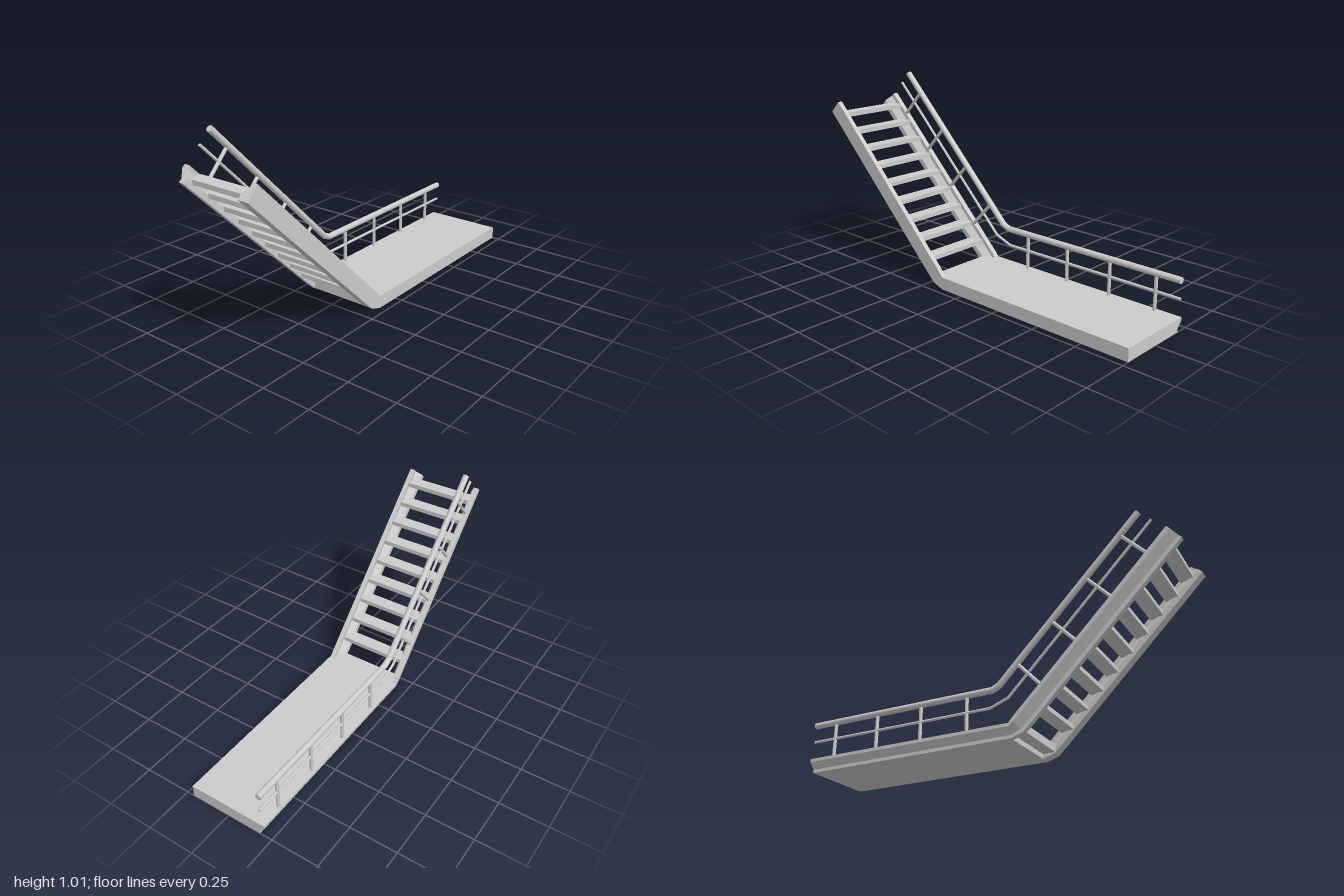
import * as THREE from 'three';

const material = new THREE.MeshStandardMaterial({ color: 0xcccccc, side: THREE.DoubleSide });
const RAIL_Z = -0.191;

// Sweep a section of [z, v] points along stations [bottomX, bottomY, topX, topY];
// v runs from 0 at the bottom line to 1 at the top line.
function sweep(name, section, stations) {
  const at = (i, s) => {
    const [z, v] = section[i % section.length];
    const [bx, by, tx, ty] = stations[s];
    return [bx + (tx - bx) * v, by + (ty - by) * v, z];
  };
  const pos = [];
  for (let s = 0; s < stations.length - 1; s++) {
    for (let i = 0; i < section.length; i++) {
      const a = at(i, s), b = at(i + 1, s), c = at(i + 1, s + 1), d = at(i, s + 1);
      pos.push(...a, ...d, ...c, ...a, ...c, ...b);
    }
  }
  const outline = section.map(([z, v]) => new THREE.Vector2(z, v));
  const last = stations.length - 1;
  for (const [a, b, c] of THREE.ShapeUtils.triangulateShape(outline, [])) {
    pos.push(...at(a, 0), ...at(b, 0), ...at(c, 0));
    pos.push(...at(a, last), ...at(c, last), ...at(b, last));
  }
  const geometry = new THREE.BufferGeometry();
  geometry.setAttribute('position', new THREE.Float32BufferAttribute(pos, 3));
  geometry.computeVertexNormals();
  const mesh = new THREE.Mesh(geometry, material);
  mesh.name = name;
  return mesh;
}

function box(name, x0, x1, y0, y1, z0, z1) {
  const mesh = new THREE.Mesh(new THREE.BoxGeometry(x1 - x0, y1 - y0, z1 - z0), material);
  mesh.position.set((x0 + x1) / 2, (y0 + y1) / 2, (z0 + z1) / 2);
  mesh.name = name;
  return mesh;
}

// Round bar along a polyline of [x, y] points in the railing plane, with ball joints
function bar(name, radius, points) {
  const group = new THREE.Group();
  group.name = name;
  const pts = points.map(([x, y]) => new THREE.Vector3(x, y, RAIL_Z));
  for (let i = 0; i < pts.length - 1; i++) {
    const dir = pts[i + 1].clone().sub(pts[i]);
    const rod = new THREE.Mesh(new THREE.CylinderGeometry(radius, radius, dir.length(), 16), material);
    rod.position.copy(pts[i]).addScaledVector(dir, 0.5);
    rod.quaternion.setFromUnitVectors(new THREE.Vector3(0, 1, 0), dir.normalize());
    rod.name = name + 'Section';
    group.add(rod);
    if (i > 0) {
      const joint = new THREE.Mesh(new THREE.SphereGeometry(radius, 16, 10), material);
      joint.position.copy(pts[i]);
      joint.name = name + 'Joint';
      group.add(joint);
    }
  }
  return group;
}

export function createModel() {
  const model = new THREE.Group();
  model.name = 'gangwayStairs';

  // Landing platform with a stepped-in lower rear edge
  model.add(sweep('platform',
    [[-0.183, 0], [0.211, 0], [0.211, 1], [-0.211, 1], [-0.211, 0.75], [-0.183, 0.25]],
    [[-0.134, 0, -0.134, 0.065], [1, 0, 1, 0.065]]));
  model.add(box('platformLip', -0.2, -0.12, 0.025, 0.064, -0.182, 0.186));

  // Stringers curving up from the platform
  const climb = [
    [-1, 0.81, -0.94, 0.87],
    [-0.257, 0.078, -0.19, 0.124],
    [-0.195, 0.02, -0.15, 0.084],
    [-0.134, 0, -0.134, 0.065],
  ];
  model.add(sweep('frontStringer',
    [[0.158, 0], [0.211, 0], [0.211, 1], [0.186, 1], [0.186, 0.75], [0.158, 0.33]], climb));
  model.add(sweep('backStringer',
    [[-0.183, 0], [-0.155, 0], [-0.155, 0.33], [-0.183, 0.75], [-0.183, 1],
      [-0.211, 1], [-0.211, 0.75], [-0.183, 0.25]], climb));

  // Treads
  for (let i = 0; i < 9; i++) {
    const x = -0.952 + i * 0.0815, y = 0.792 - i * 0.0835;
    model.add(box('tread', x, x + 0.072, y, y + 0.023, -0.183, 0.187));
  }

  // Railing: hand rail, middle rail and posts
  model.add(bar('handRail', 0.016, [[-0.81, 0.998], [-0.078, 0.266], [-0.04, 0.249], [1, 0.249]]));
  model.add(bar('middleRail', 0.007, [[-0.87, 0.94], [-0.125, 0.195], [-0.03, 0.16], [1, 0.16]]));
  for (let i = 0; i < 4; i++) {
    const x = 0.095 + i * 0.258;
    model.add(bar('platformPost', 0.009, [[x, 0.055], [x, 0.249]]));
    const sx = -0.842 + i * 0.18, sy = 0.762 - i * 0.1815;
    model.add(bar('stairPost', 0.009, [[sx, sy], [sx + 0.122, sy + 0.132]]));
  }
  return model;
}
